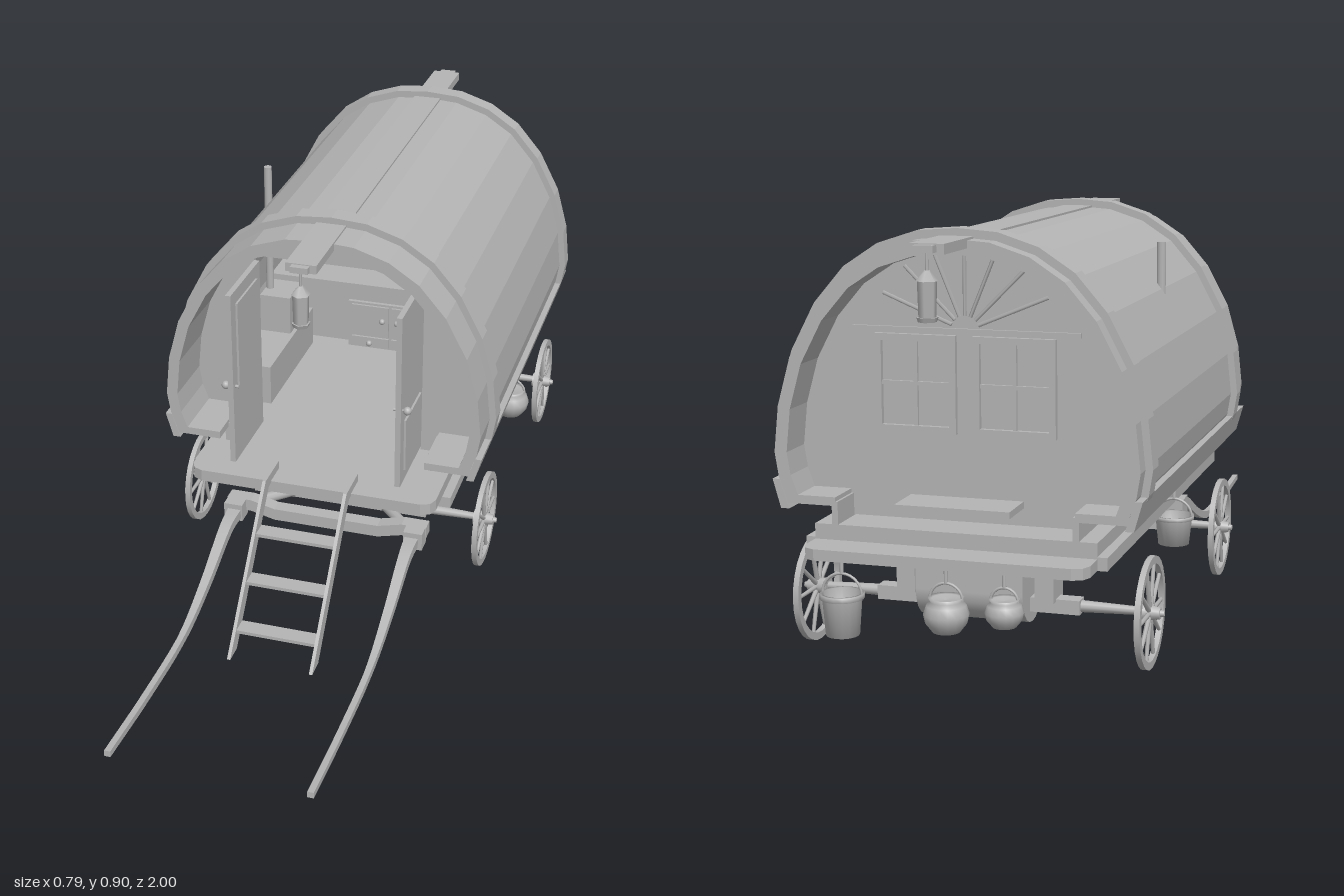
import * as THREE from 'three';

export function createModel() {
  const root = new THREE.Group();
  root.name = 'wagon';
  const grey = new THREE.MeshStandardMaterial({ color: 0xb4b4b4, side: THREE.DoubleSide });
  grey.name = 'plain grey';

  const add = (name, geo, parent = root) => {
    const m = new THREE.Mesh(geo, grey);
    m.name = name;
    parent.add(m);
    return m;
  };
  // box from its minimum and maximum on each axis
  const box = (name, x0, x1, y0, y1, z0, z1, parent) => {
    const m = add(name, new THREE.BoxGeometry(x1 - x0, y1 - y0, z1 - z0), parent);
    m.position.set((x0 + x1) / 2, (y0 + y1) / 2, (z0 + z1) / 2);
    return m;
  };
  const rod = (name, a, b, r, r2 = r, sides = 10, parent = root) => {
    const p = new THREE.Vector3(...a), q = new THREE.Vector3(...b), d = q.clone().sub(p);
    const m = add(name, new THREE.CylinderGeometry(r2, r, d.length(), sides), parent);
    m.position.copy(p).add(q).multiplyScalar(0.5);
    m.quaternion.setFromUnitVectors(new THREE.Vector3(0, 1, 0), d.normalize());
    return m;
  };
  const ball = (name, x, y, z, r) => add(name, new THREE.SphereGeometry(r, 10, 8)).position.set(x, y, z);
  const extrude = (name, pts, z0, z1) => {
    const shape = new THREE.Shape(pts.map(p => new THREE.Vector2(p[0], p[1])));
    const m = add(name, new THREE.ExtrudeGeometry(shape, { depth: z1 - z0, bevelEnabled: false }));
    m.position.z = z0;
    return m;
  };
  const sides = [-1, 1];

  // Barrel cross-section, scaled about a centre for the bands and lining
  const half = [[0.352, 0.335], [0.372, 0.39], [0.38, 0.44], [0.37, 0.535], [0.342, 0.635], [0.292, 0.73],
    [0.23, 0.802], [0.16, 0.848], [0.08, 0.874]];
  const arch = s => [...half, [0, 0.88], ...half.map(p => [-p[0], p[1]]).reverse()]
    .map(([x, y]) => [x * s, 0.45 + (y - 0.45) * s]);
  const hoop = (name, outer, inner, z0, z1) =>
    extrude(name, [...arch(outer), ...arch(inner).reverse()], z0, z1);
  hoop('barrelRoof', 1, 0.93, -0.85, 0.21);
  hoop('frontBand', 1.04, 0.96, 0.068, 0.115);
  hoop('rearBand', 1.04, 0.96, -0.81, -0.763);

  // Ridge plank with narrow tips
  box('ridgePlank', -0.035, 0.035, 0.862, 0.882, -0.98, 0.34);
  box('ridgeTip', -0.02, 0.02, 0.866, 0.88, -1, 0.355);

  // Rear wall and front wall around the doorway
  const inner = arch(0.94);
  extrude('rearWall', [[0.25, 0.3], [0.25, 0.345], ...inner, [-0.25, 0.345], [-0.25, 0.3]], -0.765, -0.75);
  extrude('frontWall', [[0.205, 0.3], [0.25, 0.3], [0.25, 0.345], ...inner, [-0.25, 0.345], [-0.25, 0.3],
    [-0.205, 0.3], [-0.205, 0.756], [0.205, 0.756]], 0.05, 0.064);

  // Rear windows, framed on both faces of the wall
  for (const s of sides) {
    for (const z of [-0.772, -0.75]) {
      const w = (x0, x1, y0, y1, d = 0) =>
        box('windowFrame', Math.min(s * x0, s * x1), Math.max(s * x0, s * x1), y0, y1, z - d, z + 0.008 + d);
      for (const x of [0.018, 0.176]) w(x, x + 0.014, 0.48, 0.68, 0.004);
      for (const y of [0.48, 0.666]) w(0.018, 0.19, y, y + 0.014, 0.004);
      w(0.1, 0.108, 0.49, 0.67);
      w(0.03, 0.18, 0.576, 0.584);
    }
  }
  // Fan of thin slats above the windows
  box('windowHeader', -0.24, 0.24, 0.684, 0.694, -0.772, -0.764);
  for (let i = 1; i < 8; i++) {
    const a = Math.PI * i / 8, r = 0.15 + 0.04 * Math.abs(Math.cos(a));
    rod('fanSlat', [0.03 * Math.cos(a), 0.69 + 0.03 * Math.sin(a), -0.766],
      [r * Math.cos(a), 0.69 + r * Math.sin(a), -0.766], 0.004, 0.004, 4);
  }

  // Chassis, floor, ledges and end platforms
  box('chassis', -0.315, 0.315, 0.243, 0.27, -0.85, 0.21);
  box('floor', -0.295, 0.295, 0.27, 0.298, -0.85, 0.21);
  const platform = (name, y0, y1, zIn, zOut) => {
    const d = Math.sign(zOut - zIn), c = 0.03;
    const m = extrude(name, [[-0.295, zIn], [0.295, zIn], [0.295, zOut - d * c], [0.286, zOut - d * 0.009],
      [0.265, zOut], [-0.265, zOut], [-0.286, zOut - d * 0.009], [-0.295, zOut - d * c]], 0, y1 - y0);
    m.rotation.x = Math.PI / 2;
    m.position.set(0, y1, 0);
  };
  platform('frontPlatform', 0.27, 0.298, 0.2, 0.3);
  platform('rearPlatform', 0.243, 0.266, -0.84, -0.93);
  box('rearShelf', -0.12, 0.12, 0.336, 0.35, -0.86, -0.76);
  for (const s of sides) {
    const span = (name, a, b, ...r) => box(name, Math.min(s * a, s * b), Math.max(s * a, s * b), ...r);
    span('lowerSideWall', 0.245, 0.258, 0.295, 0.345, -0.85, 0.15);
    span('sideLedge', 0.25, 0.362, 0.336, 0.354, -0.85, 0.21);
    extrude('sideRail', [[0.35, 0.325], [0.368, 0.325], [0.385, 0.385], [0.37, 0.385]].map(([x, y]) => [s * x, y]), -0.852, 0.212);
    // Open doors with hinges and handles
    span('openDoor', 0.193, 0.206, 0.31, 0.742, 0.06, 0.26);
    span('doorPanel', 0.204, 0.211, 0.34, 0.47, 0.09, 0.23);
    span('doorPanel', 0.188, 0.195, 0.5, 0.71, 0.09, 0.23);
    for (const y of [0.41, 0.61]) rod('hinge', [s * 0.2, y - 0.012, 0.065], [s * 0.2, y + 0.012, 0.065], 0.006);
    rod('doorHandleStem', [s * 0.185, 0.505, 0.245], [s * 0.215, 0.505, 0.245], 0.004);
    ball('doorHandle', s * 0.217, 0.505, 0.245, 0.01);
    // Interior benches
    span('bench', 0.21, 0.33, 0.298, 0.4, -0.4, -0.05);
  }

  // Bed with cupboard and drawers, stove with its pipe
  box('bed', -0.33, 0.33, 0.43, 0.476, -0.75, -0.42);
  box('bedBase', -0.25, 0.25, 0.298, 0.43, -0.75, -0.44);
  box('cupboard', -0.115, 0.115, 0.3, 0.43, -0.44, -0.41);
  for (const s of sides) {
    box('cupboardDoor', s * 0.054 - 0.05, s * 0.054 + 0.05, 0.338, 0.424, -0.412, -0.404);
    box('drawer', s * 0.054 - 0.05, s * 0.054 + 0.05, 0.305, 0.332, -0.412, -0.404);
    ball('cupboardKnob', s * 0.02, 0.385, -0.4, 0.008);
    ball('drawerKnob', s * 0.055, 0.317, -0.4, 0.008);
  }
  box('stove', -0.3, -0.22, 0.39, 0.5, -0.34, -0.24);
  rod('stovePipe', [-0.289, 0.5, -0.29], [-0.289, 0.832, -0.29], 0.01, 0.01, 12);

  // Hanging lanterns
  for (const z of [0.343, -0.978]) {
    rod('lanternHook', [0, 0.82, z], [0, 0.87, z], 0.003);
    rod('lanternCap', [0, 0.812, z], [0, 0.832, z], 0.022, 0.006, 6);
    rod('lanternGlass', [0, 0.742, z], [0, 0.812, z], 0.017, 0.019, 6);
    rod('lanternBase', [0, 0.735, z], [0, 0.744, z], 0.018, 0.021, 6);
  }

  // Wheel: rim, hub and spokes, turning about x
  const wheel = (x, z) => {
    const g = new THREE.Group();
    g.name = 'wheel';
    g.position.set(x, 0.118, z);
    const rimPts = [[0.1, -0.006], [0.116, -0.006], [0.116, 0.006], [0.1, 0.006], [0.1, -0.006]];
    const segs = rimPts.slice(1).map((p, i) => [rimPts[i], p]);
    for (const pair of segs)
      add('rim', new THREE.LatheGeometry(pair.map(p => new THREE.Vector2(...p)), 28), g).rotation.z = Math.PI / 2;
    const s = Math.sign(x);
    rod('hub', [-s * 0.025, 0, 0], [s * 0.022, 0, 0], 0.02, 0.012, 12, g);
    rod('hubCap', [s * 0.02, 0, 0], [s * 0.03, 0, 0], 0.008, 0.006, 10, g);
    for (let i = 0; i < 10; i++) {
      const a = i / 10 * Math.PI * 2 + Math.PI / 10, c = Math.cos(a), d = Math.sin(a);
      rod('spoke', [0, c * 0.012, d * 0.012], [0, c * 0.104, d * 0.104], 0.0055, 0.004, 6, g);
    }
    root.add(g);
  };
  for (const z of [0.04, -0.69]) {
    for (const s of sides) {
      wheel(s * 0.363, z);
      rod('axleArm', [s * 0.2, 0.12, z], [s * 0.36, 0.12, z], 0.013, 0.008);
    }
    box('axleBeam', -0.22, 0.22, 0.105, 0.135, z - 0.018, z + 0.018);
  }

  // Turntable under the front, water drum under the rear
  box('frontBolster', -0.2, 0.2, 0.205, 0.245, -0.03, 0.12);
  box('turntablePlate', -0.2, 0.2, 0.178, 0.196, -0.01, 0.09);
  rod('turntable', [0, 0.13, 0.04], [0, 0.21, 0.04], 0.055, 0.055, 24);
  box('rearBolster', -0.2, 0.2, 0.2, 0.245, -0.775, -0.61);
  box('drumCradle', -0.115, 0.115, 0.15, 0.205, -0.76, -0.62);
  rod('drum', [-0.115, 0.15, -0.69], [0.115, 0.15, -0.69], 0.07, 0.07, 20);
  for (const s of sides) for (const z of [0.04, -0.69])
    box('springBlock', s * 0.15 - 0.02, s * 0.15 + 0.02, 0.13, 0.205, z - 0.035, z + 0.035);

  // Draw bar and its braces
  const barTop = [[0.25, 0.152], [0.19, 0.152], [0.13, 0.137], [-0.13, 0.137], [-0.19, 0.152], [-0.25, 0.152]];
  extrude('drawBar', [...barTop, ...barTop.map(([x, y]) => [x, y - 0.03]).reverse()], 0.14, 0.175);
  for (const s of sides) {
    rod('drawBrace', [s * 0.1, 0.122, 0.04], [s * 0.2, 0.135, 0.16], 0.013);
    box('shaftBracket', s * 0.225 - 0.023, s * 0.225 + 0.023, 0.108, 0.152, 0.165, 0.205);
  }

  // Shafts: a box swept along a curve and tapered towards the tip
  const path = new THREE.CatmullRomCurve3([[0.19, 0.128], [0.26, 0.122], [0.41, 0.06], [0.56, 0.016],
    [0.78, 0.012], [1, 0.024]].map(([z, y]) => new THREE.Vector3(0, y, z)));
  for (const s of sides) {
    const geo = new THREE.BoxGeometry(1, 1, 1, 1, 1, 24), p = geo.attributes.position;
    for (let i = 0; i < p.count; i++) {
      const t = p.getZ(i) + 0.5, c = path.getPoint(t), d = path.getTangent(t);
      const w = THREE.MathUtils.lerp(0.034, 0.014, Math.min(1, t * 1.6)), h = p.getY(i) * (0.024 - 0.01 * t);
      p.setXYZ(i, s * 0.222 + p.getX(i) * w, c.y + h * d.z, c.z - h * d.y);
    }
    geo.computeVertexNormals();
    add('shaft', geo);
  }

  // Ladder hooked over the front platform
  const top = [0.315, 0.315], foot = [0.588, 0.005];
  for (const s of sides) {
    const pts = [[0.24, 0.298], [0.24, 0.318], [0.335, 0.318], [0.605, 0.005], [0.56, 0.005], [0.315, 0.292]];
    const rail = extrude('ladderRail', pts.map(([z, y]) => [-z, y]), -0.004, 0.004);
    rail.rotation.y = Math.PI / 2;
    rail.position.set(s * 0.097, 0, 0);
    rail.geometry.translate(0, 0, -0.004);
  }
  for (const t of [0.28, 0.55, 0.82]) {
    const z = top[0] + (foot[0] - top[0]) * t, y = top[1] + (foot[1] - top[1]) * t - 0.01;
    box('ladderTread', -0.097, 0.097, y - 0.004, y + 0.004, z - 0.02, z + 0.02);
  }

  // Hanging buckets and kettles
  const pot = (name, x, y, z, pts, handleY, r, hookTop) => {
    add(name, new THREE.LatheGeometry(pts.map(p => new THREE.Vector2(...p)), 16)).position.set(x, y, z);
    const h = add('handle', new THREE.TorusGeometry(r, 0.003, 6, 14, Math.PI));
    h.position.set(x, y + handleY, z);
    rod('hook', [x, y + handleY + r, z], [x, hookTop, z], 0.004);
  };
  const bucket = [[0, 0], [0.034, 0], [0.04, 0.055], [0.045, 0.056], [0.045, 0.064], [0.039, 0.064], [0.032, 0.006], [0, 0.006]];
  const kettle = [[0, 0], [0.028, 0], [0.042, 0.018], [0.046, 0.036], [0.04, 0.054], [0.032, 0.062], [0.036, 0.07], [0.028, 0.068], [0, 0.064]];
  pot('sideBucket', -0.34, 0.18, -0.37, bucket, 0.06, 0.04, 0.34);
  pot('sideKettle', 0.343, 0.204, -0.34, kettle, 0.064, 0.034, 0.34);
  pot('rearBucket', 0.22, 0.085, -0.895, bucket.map(([x, y]) => [x, y * 1.35]), 0.084, 0.042, 0.25);
  pot('rearKettle', 0, 0.11, -0.895, kettle, 0.064, 0.034, 0.25);
  pot('rearKettle', -0.12, 0.13, -0.895, kettle.map(([x, y]) => [x * 0.85, y * 0.8]), 0.05, 0.028, 0.25);
  for (const s of sides) for (const z of [0, -0.71]) rod('ledgePeg', [s * 0.225, 0.205, z], [s * 0.225, 0.25, z], 0.006);

  return root;
}
